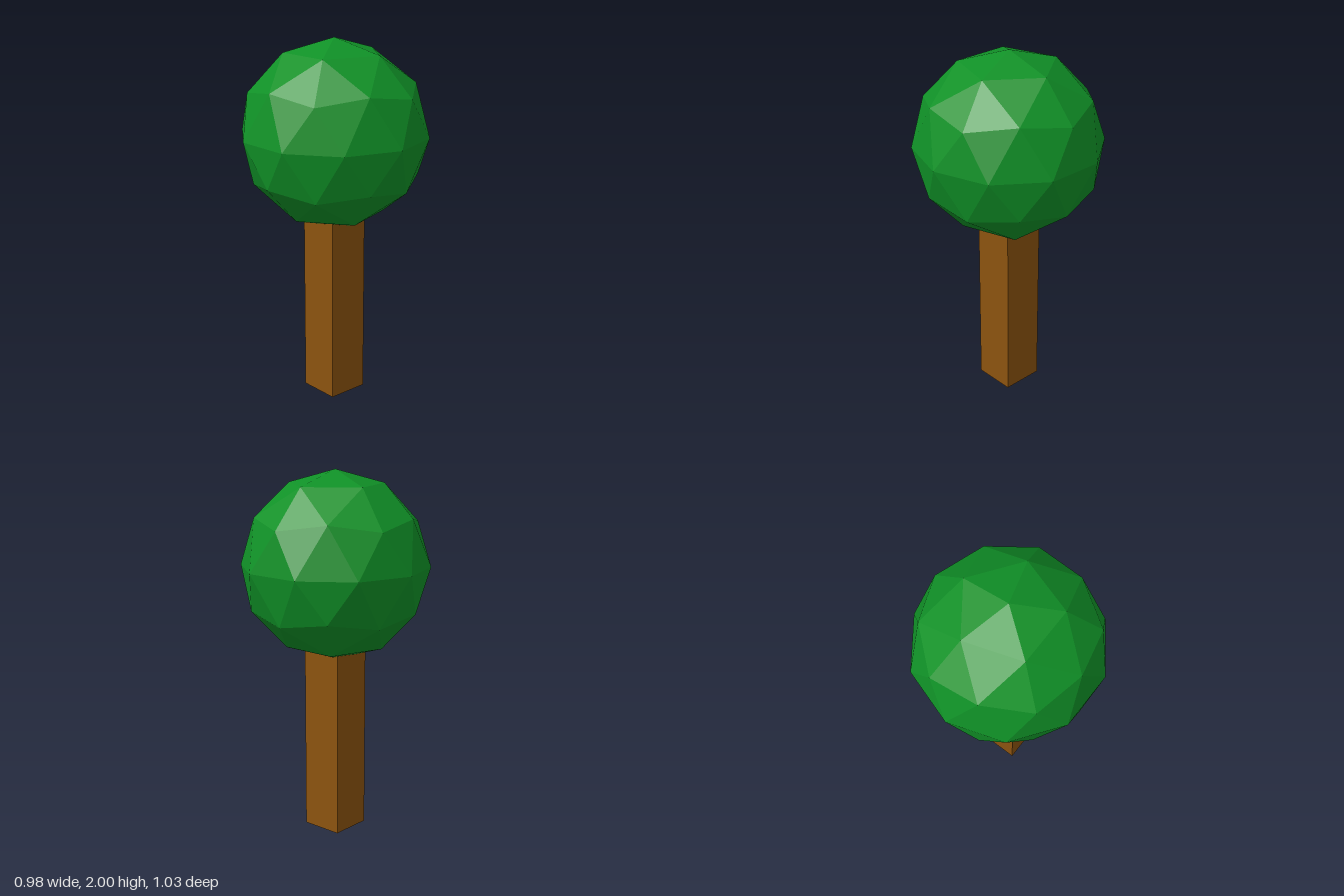
import * as THREE from 'three';

const TRUNK_WIDTH = 0.235;
const CROWN_RADIUS = 0.515;

export function createModel() {
  const foliage = new THREE.MeshStandardMaterial({ color: 0x109127 });
  foliage.name = 'foliage green';
  const bark = new THREE.MeshStandardMaterial({ color: 0x8c530f });
  bark.name = 'bark brown';
  foliage.flatShading = true;

  const tree = new THREE.Group();
  tree.name = 'tree';

  // Square trunk, its top buried in the crown
  const trunkHeight = 1.2;
  const trunk = new THREE.Mesh(new THREE.BoxGeometry(TRUNK_WIDTH, trunkHeight, TRUNK_WIDTH), bark);
  trunk.name = 'trunk';
  trunk.position.y = trunkHeight / 2;
  tree.add(trunk);

  // Faceted crown: icosphere turned so that one corner points straight up
  const golden = (1 + Math.sqrt(5)) / 2;
  const crownGeometry = new THREE.IcosahedronGeometry(CROWN_RADIUS, 1);
  crownGeometry.rotateZ(-Math.atan(1 / golden));
  const crown = new THREE.Mesh(crownGeometry, foliage);
  crown.name = 'crown';
  crown.position.y = 2 - CROWN_RADIUS;
  tree.add(crown);

  return tree;
}
